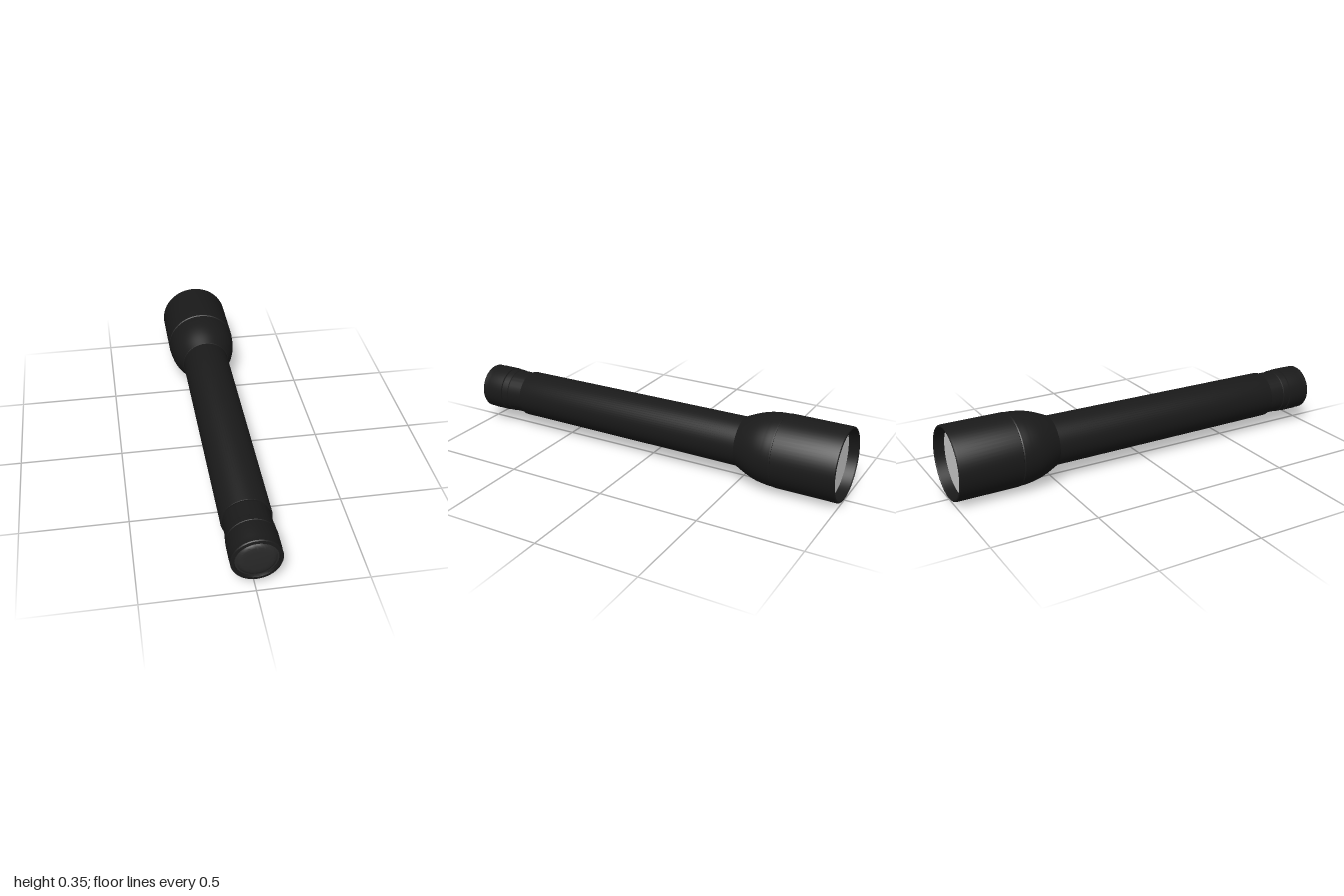
import * as THREE from 'three';
import { toCreasedNormals } from 'three/addons/utils/BufferGeometryUtils.js';

const RADIUS = 0.177;
const black = new THREE.MeshStandardMaterial({ color: 0x1a1a1a, side: THREE.DoubleSide });
const rubber = new THREE.MeshStandardMaterial({ color: 0x292929, side: THREE.DoubleSide });
const glass = new THREE.MeshStandardMaterial({ color: 0xcccccc, side: THREE.DoubleSide });

// Turned part: profile of [radius, z] pairs, running from back (-z) to front (+z)
function turned(name, profile, material) {
  const points = profile.map(([r, z]) => new THREE.Vector2(r, z));
  const lathe = new THREE.LatheGeometry(points, 64);
  lathe.rotateX(Math.PI / 2);
  const mesh = new THREE.Mesh(toCreasedNormals(lathe, 0.5), material);
  mesh.name = name;
  return mesh;
}

export function createModel() {
  const torch = new THREE.Group();
  torch.name = 'flashlight';

  // Bezel: open cup around the recessed lens, with a softened rim
  torch.add(turned('bezel', [
    [0.163, -0.945], [0.165, -0.996], [0.168, -1], [0.173, -1], [0.176, -0.997],
    [RADIUS, -0.99], [RADIUS, -0.696], [0.172, -0.693], [0.165, -0.693],
  ], black));

  // Lens disc
  torch.add(turned('lens', [[0, -0.95], [0.164, -0.95]], glass));

  // Head: curved flare from the bezel seam down to the barrel
  const flare = new THREE.SplineCurve([
    [0.175, -0.688], [0.173, -0.65], [0.165, -0.6], [0.149, -0.55], [0.123, -0.492],
  ].map(([r, z]) => new THREE.Vector2(r, z))).getPoints(20).map((p) => [p.x, p.y]);
  torch.add(turned('head', [[0.165, -0.693], [0.172, -0.693], ...flare, [0.118, -0.49]], black));

  // Barrel: slightly tapered tube
  torch.add(turned('barrel', [
    [0.12, -0.5], [0.1155, 0.747], [0.114, 0.75], [0.107, 0.75],
  ], black));

  // Tail neck
  torch.add(turned('tailNeck', [[0.108, 0.745], [0.108, 0.832], [0.1, 0.832]], black));

  // Tail cap with a fine groove and a raised end lip
  torch.add(turned('tailCap', [
    [0.105, 0.832], [0.111, 0.836], [0.112, 0.866], [0.109, 0.868], [0.109, 0.873],
    [0.114, 0.875], [0.114, 0.955], [0.113, 0.96], [0.113, 0.99], [0.11, 0.995],
    [0.097, 0.997], [0.096, 0.995], [0.096, 0.975],
  ], black));

  // Rubber switch button: shallow dome with a rounded shoulder
  torch.add(turned('switchButton', [
    [0.096, 0.983], [0.091, 0.983], [0.087, 0.985], [0.083, 0.989], [0.078, 0.993],
    [0.07, 0.996], [0.05, 0.998], [0.025, 0.9995], [0, 1],
  ], rubber));

  torch.position.y = RADIUS;
  const model = new THREE.Group();
  model.add(torch);
  return model;
}
